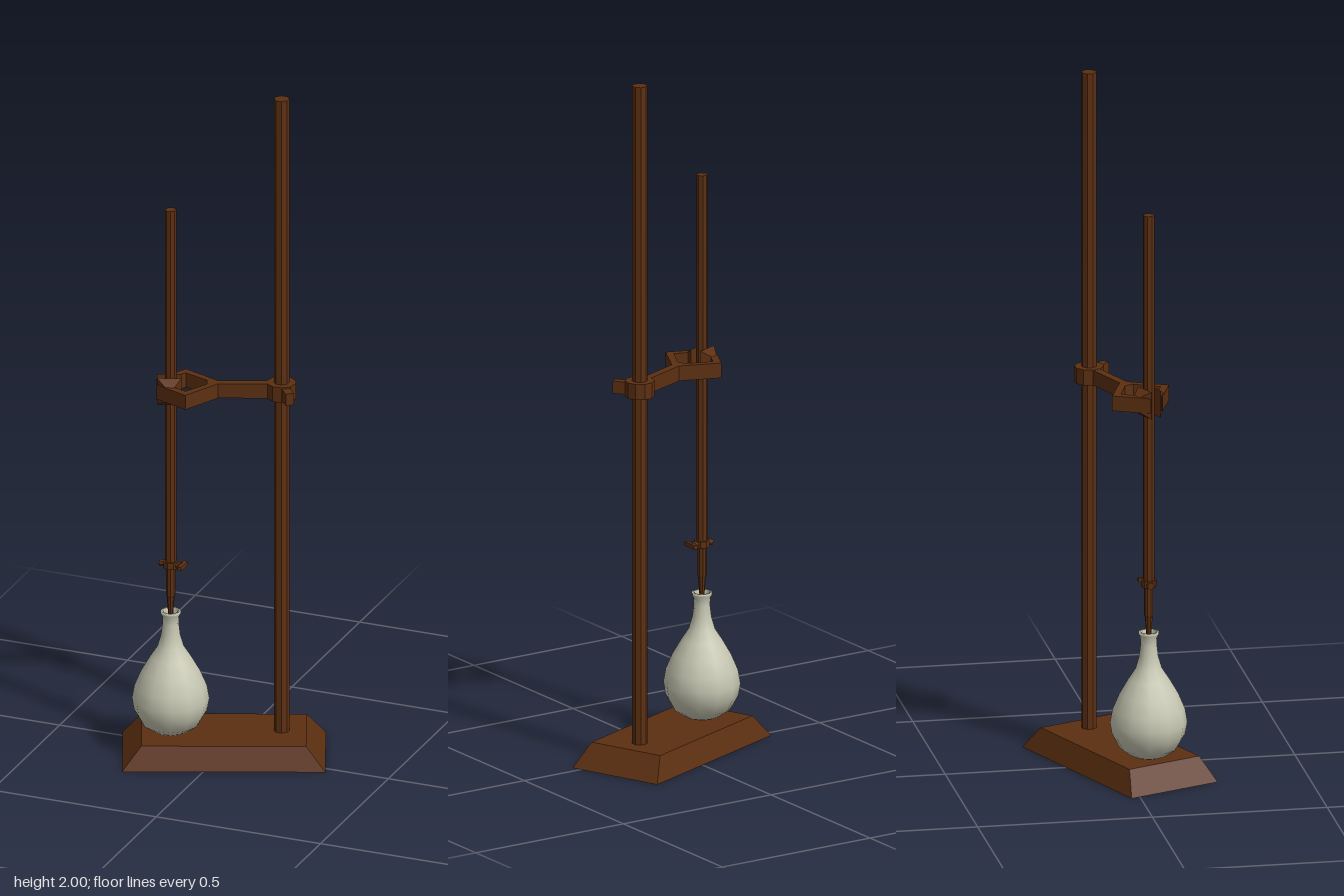
import * as THREE from 'three';
import { ConvexGeometry } from 'three/addons/geometries/ConvexGeometry.js';

export function createModel() {
  const model = new THREE.Group();
  model.name = 'titrationStand';
  model.rotation.y = 0.385; // stand is turned; everything below lies along its own x axis
  const root = new THREE.Group();
  root.add(model);

  const brown = new THREE.MeshStandardMaterial({ color: 0x5c2f11, flatShading: true });
  const glass = new THREE.MeshStandardMaterial({ color: 0xc6c6b2, side: THREE.DoubleSide });

  const add = (name, geometry, x = 0, y = 0, z = 0, material = brown) => {
    const mesh = new THREE.Mesh(geometry, material);
    mesh.name = name;
    mesh.position.set(x, y, z);
    model.add(mesh);
    return mesh;
  };
  const lathe = (points, sides) =>
    new THREE.LatheGeometry(points.map(([r, y]) => new THREE.Vector2(r, y)), sides);
  // Flat plan outline (x, z) extruded upward between two heights
  const slab = (outline, y0, y1) => {
    const shape = new THREE.Shape(outline.map(([x, z]) => new THREE.Vector2(x, z)));
    const g = new THREE.ExtrudeGeometry(shape, { depth: y1 - y0, bevelEnabled: false });
    return g.rotateX(Math.PI / 2).translate(0, y1, 0);
  };

  const rodX = 0.162, buretteX = -0.15;

  // Base: box with its top narrowed
  const base = new THREE.BoxGeometry(0.572, 0.067, 0.287);
  const p = base.attributes.position;
  for (let i = 0; i < p.count; i++) {
    if (p.getY(i) > 0) p.setXYZ(i, p.getX(i) * 0.811, p.getY(i), p.getZ(i) * 0.811);
  }
  base.computeVertexNormals();
  add('base', base, 0, 0.0335, 0);

  // Upright rod
  add('uprightRod', new THREE.CylinderGeometry(0.022, 0.022, 1.94, 8), rodX, 1.03, 0);

  // Flask
  add('flask', lathe([
    [0, 0.067], [0.05, 0.07], [0.083, 0.093], [0.103, 0.13], [0.109, 0.165], [0.102, 0.205],
    [0.083, 0.25], [0.058, 0.293], [0.037, 0.325], [0.027, 0.36], [0.023, 0.395],
    [0.024, 0.415], [0.029, 0.425], [0.029, 0.432], [0.022, 0.432], [0.02, 0.39],
  ], 12), buretteX, 0, 0, glass);

  // Burette tube with stepped tip
  add('burette', lathe([
    [0, 0.42], [0.007, 0.42], [0.011, 0.475], [0.013, 0.48], [0.013, 0.56],
    [0.016, 0.585], [0.016, 1.66], [0, 1.66],
  ], 8), buretteX, 0, 0);

  // Stopcock: barrel through the tube and a flat wing handle
  const stopcock = new THREE.Group();
  stopcock.name = 'stopcock';
  stopcock.position.set(buretteX, 0.575, 0);
  stopcock.rotation.y = -0.385;
  const barrel = new THREE.Mesh(new THREE.CylinderGeometry(0.01, 0.01, 0.065, 8).rotateZ(Math.PI / 2), brown);
  barrel.name = 'stopcockBarrel';
  const wing = new THREE.Mesh(new THREE.BoxGeometry(0.012, 0.012, 0.048), brown);
  wing.name = 'stopcockHandle';
  wing.position.x = 0.036;
  const collar = new THREE.Mesh(new THREE.CylinderGeometry(0.022, 0.022, 0.02, 8), brown);
  collar.name = 'stopcockCollar';
  stopcock.add(barrel, wing, collar);
  model.add(stopcock);

  // Clamp boss round the rod, with its tightening screw
  add('clampBoss', new THREE.CylinderGeometry(0.042, 0.042, 0.046, 10), rodX, 1.11, 0);
  const screw = add('clampScrew', new THREE.BoxGeometry(0.024, 0.036, 0.05), rodX + 0.016, 1.11, 0.048);
  screw.rotation.y = 0.32;

  // Clamp arm
  add('clampArm', new THREE.BoxGeometry(0.17, 0.044, 0.024), 0.05, 1.11, 0);

  // Clamp fork: two bent fingers, and a wedge-shaped jaw on each
  for (const s of [-1, 1]) {
    add('clampFinger', slab([
      [-0.017, 0], [-0.017, 0.012 * s], [-0.108, 0.095 * s], [-0.19, 0.02 * s],
      [-0.15, 0.028 * s], [-0.108, 0.066 * s], [-0.048, 0.014 * s], [-0.048, 0],
    ], 1.088, 1.132));
    const corners = [
      [-0.188, 1.07, 0.015], [-0.12, 1.07, 0.016], [-0.188, 1.15, 0.015], [-0.12, 1.15, 0.016],
      [-0.165, 1.088, 0.04], [-0.14, 1.088, 0.042], [-0.165, 1.132, 0.04], [-0.14, 1.132, 0.042],
    ].map(([x, y, z]) => new THREE.Vector3(x, y, z * s));
    add('clampJaw', new ConvexGeometry(corners));
  }

  return root;
}
